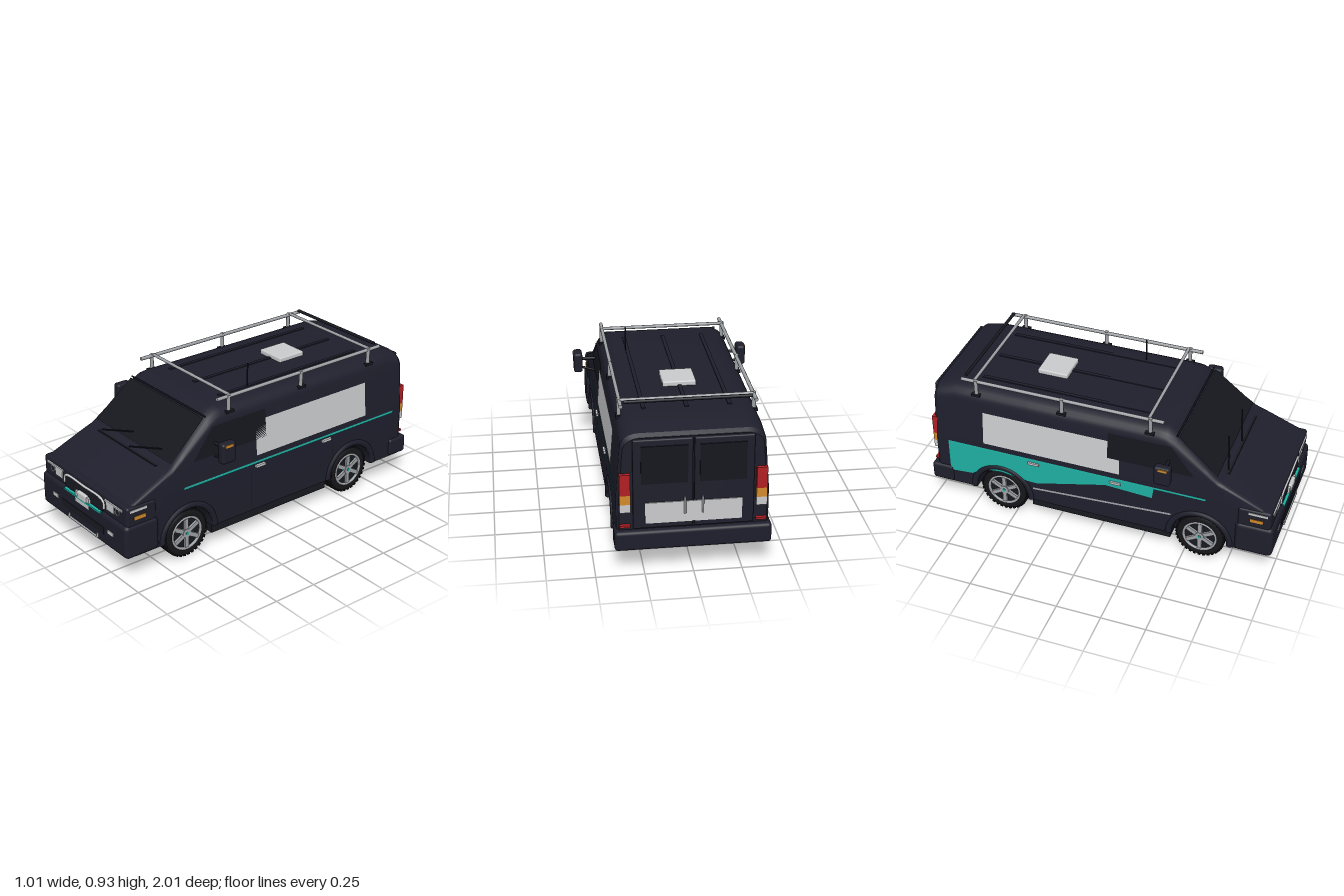
import * as THREE from 'three';
import { toCreasedNormals } from 'three/addons/utils/BufferGeometryUtils.js';
import { RoundedBoxGeometry } from 'three/addons/geometries/RoundedBoxGeometry.js';

const mat = (name, color, side = THREE.FrontSide) => {
  const m = new THREE.MeshStandardMaterial({ color, side });
  m.name = name;
  return m;
};
const M = {
  body: mat('navy paint', 0x1f1f2d),
  trim: mat('dark trim', 0x191a22),
  tyre: mat('tyre rubber', 0x17171b),
  glass: mat('dark glass', 0x16171e, THREE.DoubleSide),
  metal: mat('brushed metal', 0xa0a3a7),
  light: mat('pale grey', 0xcbccce, THREE.DoubleSide),
  teal: mat('teal stripe', 0x1fb0a4, THREE.DoubleSide),
  red: mat('red lens', 0xb02024),
  amber: mat('amber lens', 0xd18a2c),
};
const WHEEL_Z = [0.59, -0.57], WHEEL_Y = 0.145, ARCH = 0.157, FLOOR = 0.142;

// Half width of the body side at height y
const sideX = (y) => 0.388 - 0.025 * Math.max(0, (y - 0.43) / 0.31);

function add(parent, name, geo, material, x = 0, y = 0, z = 0) {
  const mesh = new THREE.Mesh(geo, material);
  mesh.name = name;
  mesh.position.set(x, y, z);
  parent.add(mesh);
  return mesh;
}
// Box given by its limits; r rounds the edges
function box(parent, name, material, [x0, x1], [y0, y1], [z0, z1], r = 0) {
  const s = [x1 - x0, y1 - y0, z1 - z0].map(Math.abs);
  const geo = r ? new RoundedBoxGeometry(...s, 3, r) : new THREE.BoxGeometry(...s);
  return add(parent, name, geo, material, (x0 + x1) / 2, (y0 + y1) / 2, (z0 + z1) / 2);
}
// Round bar between two points
function rod(parent, name, material, a, b, r) {
  const p = new THREE.Vector3(...a), q = new THREE.Vector3(...b);
  const d = q.clone().sub(p);
  const mesh = add(parent, name, new THREE.CylinderGeometry(r, r, d.length(), 10), material);
  mesh.position.copy(p.add(q).multiplyScalar(0.5));
  mesh.quaternion.setFromUnitVectors(new THREE.Vector3(0, 1, 0), d.normalize());
  return mesh;
}
// Thin plate lying on the body side, outlined by [z, y] points
function sidePlate(parent, name, material, s, pts, lift = 0.004) {
  const geo = new THREE.ShapeGeometry(new THREE.Shape(pts.map((p) => new THREE.Vector2(-s * p[0], p[1]))));
  const pos = geo.attributes.position;
  for (let i = 0; i < pos.count; i++) {
    const y = pos.getY(i);
    pos.setXYZ(i, s * (sideX(y) + lift), y, -s * pos.getX(i));
  }
  geo.computeVertexNormals();
  return add(parent, name, geo, material);
}
const rect = (z0, z1, y0, y1) => [[z0, y0], [z1, y0], [z1, y1], [z0, y1]];

// Body shell: cross-sections lofted along z, with the arches cut through
function bodyGeometry() {
  const roof = [[-0.965, 0.755], [-0.945, 0.772], [-0.84, 0.798], [0.34, 0.8], [0.38, 0.795],
    [0.43, 0.768], [0.68, 0.555], [0.93, 0.445], [0.975, 0.42]];
  const height = (z) => {
    let i = 1;
    while (i < roof.length - 1 && z > roof[i][0]) i++;
    const [a, b] = [roof[i - 1], roof[i]];
    return a[1] + (b[1] - a[1]) * (z - a[0]) / (b[0] - a[0]);
  };
  const zs = roof.map((p) => p[0]);
  for (const c of WHEEL_Z) for (let k = 0; k <= 20; k++) zs.push(c + ARCH * Math.cos(k * Math.PI / 20));
  zs.sort((a, b) => a - b);
  const rings = zs.map((z) => {
    const h = height(z), t = Math.min(1, Math.max(0, (h - 0.5) / 0.28));
    const ry = 0.015 + 0.06 * t, rx = ry * 1.3, y1 = h - ry;
    const wide = z < -0.96 || z > 0.97 ? 0.965 : 1;
    let bottom = FLOOR;
    for (const c of WHEEL_Z) {
      const d = ARCH * ARCH - (z - c) ** 2;
      if (d > 0) bottom = Math.max(bottom, WHEEL_Y + Math.sqrt(d));
    }
    const belt = Math.min(0.43, y1 - 0.005);
    const half = [[sideX(0), bottom], [sideX(belt), belt]];
    for (let k = 0; k <= 6; k++) {
      const a = k * Math.PI / 12;
      half.push([sideX(y1) - rx + rx * Math.cos(a), y1 + ry * Math.sin(a)]);
    }
    const ring = [...half, ...half.map(([x, y]) => [-x, y]).reverse()];
    return ring.map(([x, y]) => [x * wide, y, z]);
  });
  const n = rings[0].length, idx = [];
  for (let i = 0; i < rings.length - 1; i++) for (let j = 0; j < n; j++) {
    const a = i * n + j, b = i * n + (j + 1) % n;
    idx.push(a, b, a + n, b, b + n, a + n);
  }
  const last = (rings.length - 1) * n;
  for (let j = 1; j < n - 1; j++) idx.push(0, j + 1, j, last, last + j, last + j + 1);
  const geo = new THREE.BufferGeometry();
  geo.setAttribute('position', new THREE.Float32BufferAttribute(rings.flat(2), 3));
  geo.setIndex(idx);
  return toCreasedNormals(geo, 0.45);
}

function makeWheel(s) {
  const wheel = new THREE.Group();
  wheel.name = 'wheel';
  const profile = [[0.09, -0.04], [0.12, -0.045], [0.133, -0.036], [0.136, 0], [0.133, 0.036], [0.12, 0.045], [0.09, 0.04]];
  const axle = (geo) => geo.rotateZ(-Math.PI / 2);
  add(wheel, 'tyre', axle(new THREE.LatheGeometry(profile.map((p) => new THREE.Vector2(...p)), 40)), M.tyre);
  add(wheel, 'rimDisc', axle(new THREE.CylinderGeometry(0.094, 0.094, 0.06, 32)), M.trim);
  add(wheel, 'rimRing', new THREE.TorusGeometry(0.092, 0.008, 8, 36).rotateY(Math.PI / 2), M.metal, s * 0.038);
  add(wheel, 'hub', axle(new THREE.CylinderGeometry(0.026, 0.026, 0.02, 20)), M.metal, s * 0.036);
  add(wheel, 'hubCap', axle(new THREE.CylinderGeometry(0.009, 0.009, 0.006, 12)), M.teal, s * 0.046);
  for (let k = 0; k < 6; k++) {
    const spoke = add(wheel, 'spoke', new THREE.BoxGeometry(0.014, 0.075, 0.024).translate(0, 0.054, 0), M.metal, s * 0.036);
    spoke.rotation.x = k * Math.PI / 3;
  }
  for (let k = 0; k < 64; k++) {
    const block = add(wheel, 'treadBlock', new THREE.BoxGeometry(0.034, 0.008, 0.015).translate((k % 2 - 0.5) * 0.042, 0.136, 0), M.tyre);
    block.rotation.x = k * Math.PI / 32;
  }
  return wheel;
}

export function createModel() {
  const van = new THREE.Group();
  van.name = 'van';
  add(van, 'bodyShell', bodyGeometry(), M.body);
  box(van, 'chassis', M.trim, [-0.28, 0.28], [0.08, 0.15], [-0.78, 0.76]);
  box(van, 'sills', M.trim, [-0.36, 0.36], [0.08, 0.15], [-0.4, 0.42]);

  // Nose
  box(van, 'fascia', M.body, [-0.395, 0.395], [0.31, 0.437], [0.8, 0.983], 0.015);
  box(van, 'frontBumper', M.body, [-0.405, 0.405], [0.143, 0.335], [0.79, 1], 0.025);
  box(van, 'grille', M.trim, [-0.18, 0.18], [0.33, 0.4], [0.97, 0.987]);
  box(van, 'lowerIntake', M.trim, [-0.2, 0.2], [0.21, 0.252], [0.99, 1.003]);
  const arch = new THREE.CatmullRomCurve3([[-0.187, 0.352], [-0.187, 0.385], [-0.165, 0.403], [0, 0.405], [0.165, 0.403], [0.187, 0.385], [0.187, 0.352]]
    .map(([x, y]) => new THREE.Vector3(x, y, 0.986)));
  add(van, 'grilleSurround', new THREE.TubeGeometry(arch, 40, 0.007, 8), M.light);
  box(van, 'numberPlate', M.light, [-0.065, 0.065], [0.295, 0.36], [0.99, 1.002]);
  box(van, 'grilleBar', M.teal, [-0.17, 0.17], [0.32, 0.331], [0.99, 1.005]);
  box(van, 'grillePod', M.light, [-0.045, 0.045], [0.322, 0.37], [0.985, 1.008], 0.011);
  rod(van, 'skidBar', M.metal, [-0.14, 0.167, 1.0], [0.14, 0.167, 1.0], 0.007);

  // Windscreen and wipers
  const glassZ = (y) => 0.68 - (y - 0.555) * 0.25 / 0.213 + 0.008;
  const screen = new THREE.PlaneGeometry(0.68, 0.19);
  const sp = screen.attributes.position;
  for (let i = 0; i < 4; i++) {
    const y = sp.getY(i) + 0.667;
    sp.setXYZ(i, sp.getX(i) * (y > 0.667 ? 0.97 : 1.02), y, glassZ(y));
  }
  screen.computeVertexNormals();
  add(van, 'windscreen', screen, M.glass);
  for (const x of [-0.245, 0.015]) rod(van, 'wiper', M.trim, [x, 0.555, glassZ(0.555) + 0.012], [x + 0.21, 0.605, glassZ(0.605) + 0.01], 0.004);
  box(van, 'cowl', M.trim, [-0.27, 0.27], [0.536, 0.547], [0.68, 0.712]);
  rod(van, 'screenHeader', M.trim, [-0.33, 0.768, 0.435], [0.33, 0.768, 0.435], 0.005);

  for (const s of [1, -1]) {
    // Front lamps
    box(van, 'headlight', M.light, [s * 0.21, s * 0.28], [0.36, 0.405], [0.97, 0.988]);
    add(van, 'roundLampRing', new THREE.TorusGeometry(0.018, 0.003, 8, 24), M.metal, s * 0.31, 0.383, 0.985);
    box(van, 'lampBrow', M.light, [s * 0.2, s * 0.357], [0.405, 0.416], [0.97, 0.991]);
    box(van, 'fogLight', M.light, [s * 0.24, s * 0.29], [0.235, 0.256], [0.99, 1.003]);
    rod(van, 'skidBarEnd', M.metal, [s * 0.137, 0.165, 1.0], [s * 0.137, 0.19, 0.996], 0.009);
    box(van, 'sideLamp', M.light, [s * 0.39, s * 0.398], [0.407, 0.421], [0.86, 0.965]);
    box(van, 'sideIndicator', M.amber, [s * 0.39, s * 0.398], [0.36, 0.38], [0.87, 0.94]);

    // Side panel, stripe, windows and handles
    sidePlate(van, 'sidePanel', M.light, s, rect(0.13, -0.67, 0.468, 0.668));
    sidePlate(van, 'beltStripe', M.teal, s, rect(0.62, -0.885, 0.424, 0.438), 0.006);
    sidePlate(van, 'cabWindow', M.glass, s, [[0.55, 0.56], [0.06, 0.56], [0.06, 0.72], [0.415, 0.72]]);
    for (const z of [0.17, -0.42]) sidePlate(van, 'doorSeam', M.trim, s, rect(z, z - 0.005, 0.15, 0.42), 0.002);
    for (const z of [0.11, -0.37]) box(van, 'doorHandle', M.light, [s * 0.385, s * 0.402], [0.4, 0.414], [z - 0.032, z + 0.032]);

    // Mirror
    box(van, 'mirror', M.body, [s * 0.452, s * 0.502], [0.555, 0.672], [0.36, 0.45], 0.015);
    box(van, 'mirrorIndicator', M.amber, [s * 0.499, s * 0.505], [0.65, 0.664], [0.385, 0.435]);
    rod(van, 'mirrorArm', M.trim, [s * 0.365, 0.626, 0.405], [s * 0.46, 0.626, 0.405], 0.009);
    rod(van, 'mirrorStrut', M.trim, [s * 0.375, 0.55, 0.405], [s * 0.46, 0.575, 0.405], 0.007);

    // Wheels and arch flares
    for (const z of WHEEL_Z) {
      const wheel = makeWheel(s);
      wheel.position.set(s * 0.326, WHEEL_Y, z);
      van.add(wheel);
      const flare = add(van, 'archFlare', new THREE.TorusGeometry(0.174, 0.018, 8, 32, Math.PI).rotateY(Math.PI / 2), M.body, s * 0.386, WHEEL_Y, z);
      flare.scale.x = 0.7;
    }

    // Rear door, window and lamps
    box(van, 'rearDoor', M.body, [s * 0.004, s * 0.305], [0.26, 0.75], [-0.984, -0.95], 0.008);
    box(van, 'rearWindow', M.glass, [s * 0.03, s * 0.265], [0.51, 0.715], [-0.989, -0.98]);
    rod(van, 'rearHandle', M.metal, [s * 0.045, 0.34, -0.994], [s * 0.045, 0.43, -0.994], 0.006);
    [['brakeLamp', M.red, 0.45, 0.565], ['rearIndicator', M.amber, 0.4, 0.45], ['reverseLamp', M.light, 0.355, 0.4], ['reflector', M.red, 0.27, 0.282]]
      .forEach(([name, m, y0, y1]) => box(van, name, m, [s * 0.318, s * 0.373], [y0, y1], [-0.985, -0.95]));

    // Roof rack side
    rod(van, 'rackRail', M.metal, [s * 0.342, 0.848, 0.365], [s * 0.342, 0.848, -0.795], 0.01);
    for (const z of [0.29, -0.21, -0.71]) {
      rod(van, 'rackLeg', M.metal, [s * 0.345, 0.768, z], [s * 0.345, 0.858, z], 0.011);
      box(van, 'rackFoot', M.trim, [s * 0.32, s * 0.362], [0.758, 0.772], [z - 0.025, z + 0.025]);
    }
  }

  // Flowing graphic and pinstripe on the right side only
  sidePlate(van, 'swoosh', M.teal, -1, [[-0.885, 0.428], [-0.885, 0.225], [-0.75, 0.235], [-0.68, 0.28],
    [-0.57, 0.292], [-0.46, 0.275], [-0.36, 0.27], [0.05, 0.375], [0.32, 0.36], [0.33, 0.428]]);
  sidePlate(van, 'pinstripe', M.metal, -1, [[-0.38, 0.222], [0.43, 0.27], [0.43, 0.282], [-0.38, 0.234]]);

  // Tail
  box(van, 'rearBumper', M.body, [-0.4, 0.4], [0.143, 0.25], [-1, -0.87], 0.018);
  box(van, 'rearPanel', M.light, [-0.245, 0.245], [0.29, 0.405], [-0.989, -0.982]);

  // Roof equipment
  for (const z of [0.28, -0.72]) rod(van, 'rackCrossBar', M.metal, [-0.342, 0.853, z], [0.342, 0.853, z], 0.009);
  rod(van, 'rackDarkBar', M.trim, [-0.325, 0.865, -0.775], [0.325, 0.865, -0.775], 0.009);
  box(van, 'roofVent', M.light, [-0.088, 0.088], [0.79, 0.824], [-0.455, -0.28], 0.008);
  for (const x of [-0.22, 0, 0.22]) box(van, 'roofRib', M.body, [x - 0.01, x + 0.01], [0.79, 0.804], [-0.72, 0.26]);
  rod(van, 'antenna', M.trim, [0.23, 0.79, 0.07], [0.23, 0.935, 0.07], 0.004);
  return van;
}
